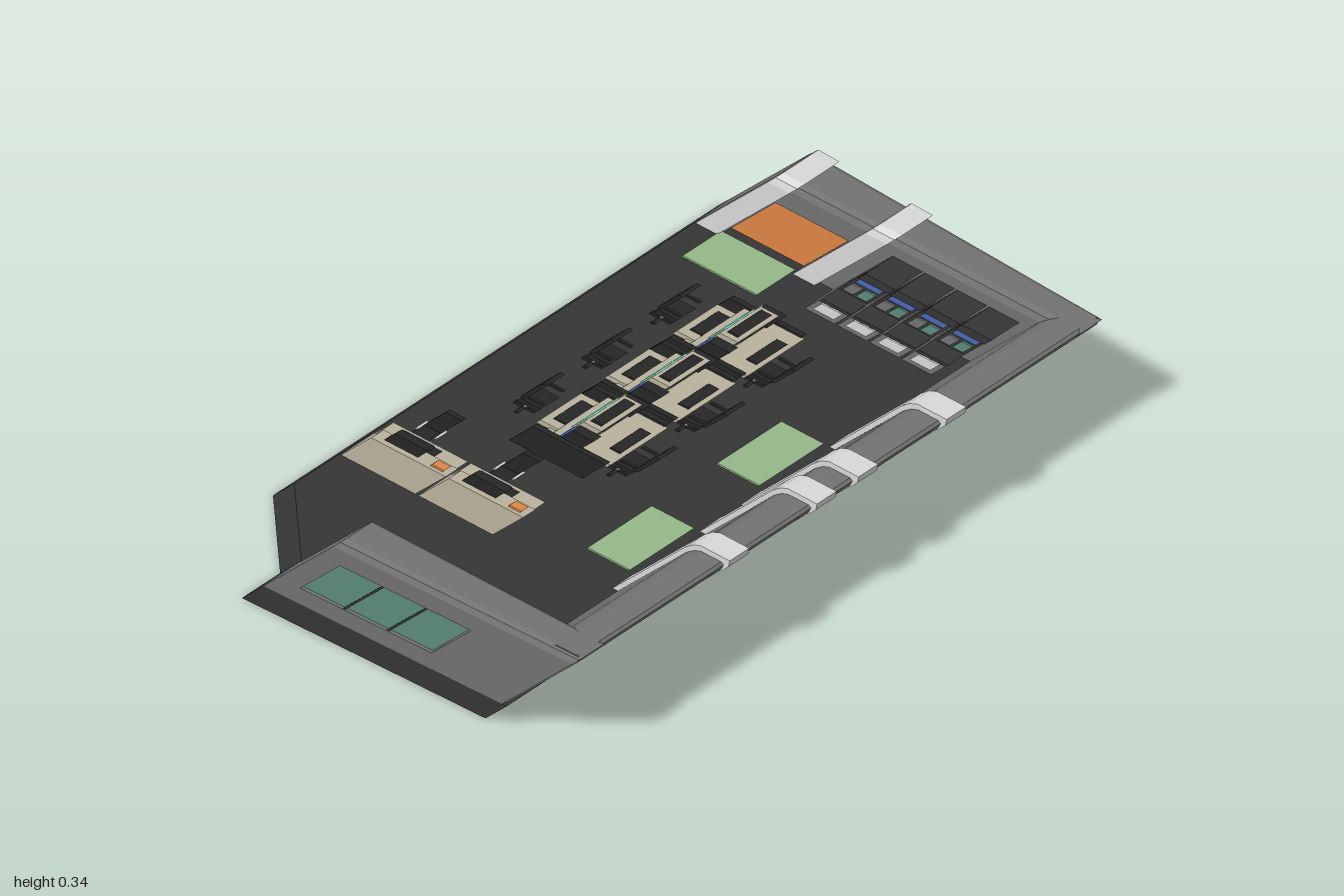
import * as THREE from 'three';

const mat = (name, color, extra = {}) => new THREE.MeshStandardMaterial({ name, color, ...extra });

export function createModel() {
  const M = {
    hull: mat('hullGrey', 0x727272), floor: mat('floorCharcoal', 0x353535),
    rib: mat('ribLightGrey', 0xd8d8d8), door: mat('doorOrange', 0xdd8544),
    pad: mat('matGreen', 0x94b886), glass: mat('windowTeal', 0x5b8b7d),
    desk: mat('deskBeige', 0xb9b19c), black: mat('seatBlack', 0x262626),
    screen: mat('screenAqua', 0x80d8c0), blue: mat('panelBlue', 0x4a68b8),
  };
  const root = new THREE.Group();
  root.name = 'slantedControlRoom';
  let target = root;
  const section = (name, build) => {
    target = new THREE.Group();
    target.name = name;
    root.add(target);
    build();
    target = root;
  };

  // Everything is laid out upright, then slanted: z moves forward with height,
  // and the outer side faces narrow slightly toward the front.
  const add = (name, material, geometry) => {
    const g = geometry.index ? geometry.toNonIndexed() : geometry;
    const p = g.attributes.position;
    for (let i = 0; i < p.count; i++) {
      let x = p.getX(i);
      const y = p.getY(i), z = p.getZ(i);
      if (x > 0.9) x -= 0.045 * (z + 0.67);
      if (x < -0.9) x += 0.03 * (z + 0.44);
      p.setXYZ(i, x, y, z + y);
    }
    g.computeVertexNormals();
    const mesh = new THREE.Mesh(g, material);
    mesh.name = name;
    target.add(mesh);
  };
  const box = (name, material, x0, x1, y0, y1, z0, z1) =>
    add(name, material, new THREE.BoxGeometry(x1 - x0, y1 - y0, z1 - z0)
      .translate((x0 + x1) / 2, (y0 + y1) / 2, (z0 + z1) / 2));
  const cyl = (name, material, r, x, y0, y1, z, n = 10) =>
    add(name, material, new THREE.CylinderGeometry(r, r, y1 - y0, n).translate(x, (y0 + y1) / 2, z));
  const shapeOf = pts => new THREE.Shape(pts.map(p => new THREE.Vector2(...p)));

  // Floor slab with one cut corner
  const plan = [[-1, -0.44], [-0.86, -0.44], [-0.63, -0.67], [1, -0.67], [1, 0.34], [-1, 0.34]];
  add('floorSlab', M.floor, new THREE.ExtrudeGeometry(shapeOf(plan.map(([x, z]) => [x, -z]).reverse()),
    { depth: 0.07, bevelEnabled: false }).rotateX(-Math.PI / 2));

  // Sides: cross-sections are (distance outward from the inner face, height), run a..b along the wall
  const F = { turn: -Math.PI / 2, x: 0, z: 0.22, t: 0.11 };
  const L = { turn: Math.PI, x: -0.865, z: 0, t: 0.135 };
  const R = { turn: 0, x: 0.855, z: 0, t: 0.145 };
  const run = (name, material, side, pts, a, b) =>
    add(name, material, new THREE.ExtrudeGeometry(shapeOf(pts), { depth: b - a, bevelEnabled: false })
      .translate(0, 0, side.turn === 0 ? a : -b).rotateY(side.turn).translate(side.x, 0, side.z));
  const rect = (d0, d1, y0, y1) => [[d0, y0], [d1, y0], [d1, y1], [d0, y1]];
  const wall = (side, a, b, y0 = 0.07) => {
    const t = side.t;
    run('wallSection', M.hull, side, [[0, y0], [t, y0], [t, 0.3], [t - 0.008, 0.316], [t - 0.022, 0.322],
      [0.022, 0.322], [0.008, 0.314], [0, 0.297]], a, b);
  };
  const doorway = (side, a, b) => {
    wall(side, a, b, 0.24);
    run('door', M.door, side, rect(0.025, side.t - 0.002, 0.07, 0.24), a, b);
  };
  const rib = (side, c, low) => {
    const t = side.t;
    run('ribCap', M.rib, side, [[-0.018, 0.07], [0, 0.07], [0, 0.28], [t - 0.01, 0.28], [t + 0.006, 0.295],
      [t + 0.006, 0.318], [t - 0.01, 0.338], [0.004, 0.338], [-0.012, 0.328], [-0.018, 0.308]], c - 0.036, c + 0.036);
    run('ribOuterStrip', M.rib, side, rect(t - 0.01, t + 0.005, low, 0.3), c - 0.021, c + 0.021);
  };

  section('frontWall', () => {
    for (const [a, b] of [[-0.985, -0.355], [-0.115, 0.115], [0.355, 0.985]]) wall(F, a, b);
    doorway(F, -0.355, -0.115);
    doorway(F, 0.115, 0.355);
    for (const c of [-0.4, -0.08, 0.072, 0.395]) rib(F, c, 0.2);
  });
  section('doorSideWall', () => {
    wall(R, -0.67, -0.59);
    doorway(R, -0.59, -0.35);
    wall(R, -0.35, 0.325);
    rib(R, -0.312, 0.07);
    rib(R, -0.632, 0.07);
  });
  section('windowSideWall', () => {
    wall(L, -0.44, -0.37);
    wall(L, -0.37, 0.05, 0.25);
    run('windowSill', M.hull, L, rect(0, L.t, 0.07, 0.12), -0.37, 0.05);
    wall(L, 0.05, 0.325);
    for (let i = 0; i < 3; i++) {
      const a = -0.37 + i * 0.14;
      run('windowPane', M.glass, L, rect(0.015, L.t - 0.01, 0.12, 0.25), a, a + 0.135);
      if (i) run('windowMullion', M.floor, L, rect(0.005, L.t - 0.003, 0.12, 0.25), a - 0.006, a + 0.002);
    }
  });

  // Door mats
  section('doorMats', () => {
    box('mat', M.pad, -0.355, -0.12, 0.069, 0.075, 0.043, 0.183);
    box('mat', M.pad, 0.12, 0.355, 0.069, 0.075, 0.043, 0.183);
    box('mat', M.pad, 0.71, 0.85, 0.069, 0.075, -0.6, -0.355);
  });

  // Equipment cabinets along the door-side wall
  section('equipmentCabinets', () => {
    for (let i = 0; i < 4; i++) {
      const a = -0.23 + i * 0.106, b = a + 0.098;
      box('cabinetBase', M.hull, 0.75, 0.86, 0.07, 0.125, a, b);
      box('cabinetDesk', M.floor, 0.74, 0.86, 0.125, 0.135, a, b);
      box('cabinetBack', M.floor, 0.8, 0.86, 0.135, 0.24, a, b);
      box('cabinetHood', M.floor, 0.755, 0.86, 0.24, 0.265, a, b);
      box('cabinetDrawer', M.rib, 0.746, 0.751, 0.085, 0.115, a + 0.015, b - 0.015);
      box('cabinetScreen', M.blue, 0.795, 0.801, 0.185, 0.23, a + 0.01, b - 0.01);
      box('cabinetGauge', M.hull, 0.795, 0.801, 0.143, 0.175, a + 0.01, a + 0.045);
      box('cabinetGauge', M.glass, 0.795, 0.801, 0.143, 0.175, a + 0.053, b - 0.01);
    }
  });

  // Swivel chair; (dx, dz) points from the seat to its backrest
  const chair = (x, z, dx, dz, s = 1) => {
    const w = 0.032 * s;
    for (const k of [0, 1])
      box('chairFoot', M.black, x - (k ? 0.006 : w), x + (k ? 0.006 : w), 0.07, 0.077,
        z - (k ? w : 0.006), z + (k ? w : 0.006));
    cyl('chairStem', M.rib, 0.007, x, 0.075, 0.11, z, 8);
    box('chairSeat', M.black, x - w, x + w, 0.108, 0.122, z - w, z + w);
    const bx = x + dx * w, bz = z + dz * w, hw = dz ? w : 0.007, hd = dx ? w : 0.007;
    box('chairBack', M.black, bx - hw, bx + hw, 0.128, 0.2, bz - hd, bz + hd);
    for (const k of [-1, 1]) {
      const ax = x + (dz ? k * (w + 0.004) : 0), az = z + (dx ? k * (w + 0.004) : 0);
      const aw = dz ? 0.004 : w * 0.7, ad = dx ? 0.004 : w * 0.7;
      box('chairArm', dx ? M.rib : M.black, ax - aw, ax + aw, 0.14, 0.146, az - ad, az + ad);
    }
  };

  // Three double consoles, crewed from both sides
  const console2 = cx => section('doubleConsole', () => {
    box('pedestal', M.desk, cx - 0.085, cx + 0.085, 0.07, 0.13, -0.365, -0.185);
    box('consoleTop', M.desk, cx - 0.105, cx + 0.105, 0.13, 0.142, -0.345, -0.15);
    box('keyShelf', M.desk, cx - 0.075, cx + 0.075, 0.124, 0.138, -0.405, -0.34);
    box('keyboard', M.black, cx - 0.05, cx + 0.05, 0.138, 0.143, -0.385, -0.345);
    box('frontKeyboard', M.black, cx - 0.055, cx + 0.055, 0.142, 0.147, -0.2, -0.165);
    box('monitorHousing', M.desk, cx - 0.075, cx + 0.075, 0.142, 0.2, -0.325, -0.265);
    box('monitorTop', M.black, cx - 0.06, cx + 0.06, 0.2, 0.206, -0.315, -0.28);
    box('mainScreen', M.screen, cx - 0.055, cx + 0.06, 0.15, 0.196, -0.33, -0.324);
    box('frontScreen', M.black, cx - 0.06, cx + 0.06, 0.148, 0.193, -0.266, -0.26);
    box('frontIndicator', M.pad, cx - 0.06, cx + 0.06, 0.15, 0.162, -0.261, -0.256);
    for (const k of [-1, 1]) {
      const x = cx + k * 0.09;
      box('sideCabinet', M.black, x - 0.015, x + 0.015, 0.142, 0.185, -0.32, -0.25);
      box('sideScreen', k < 0 ? M.blue : M.pad, x - 0.012, x + 0.012, 0.148, 0.18, -0.326, -0.319);
      box('sideLeg', M.black, cx + k * 0.11 - 0.008, cx + k * 0.11 + 0.008, 0.07, 0.148, -0.4, -0.16);
      box('vent', M.black, x - k * 0.035 - 0.02, x - k * 0.035 + 0.02, 0.085, 0.11, -0.37, -0.364);
    }
    chair(cx + 0.01, -0.465, 0, -1, 1.05);
    chair(cx - 0.035, -0.12, 0, 1, 1.05);
  });
  [-0.025, 0.225, 0.475].forEach(console2);

  // Two single desks in a row
  for (const z of [-0.665, -0.41]) section('singleDesk', () => {
    const e = z + 0.245;
    box('deskBody', M.desk, -0.465, -0.385, 0.07, 0.13, z, e);
    box('deskTop', M.desk, -0.465, -0.35, 0.13, 0.14, z, e);
    box('deskRiser', M.desk, -0.465, -0.42, 0.14, 0.17, z, e);
    box('deskEnd', M.desk, -0.465, -0.352, 0.07, 0.14, z, z + 0.015);
    box('deskEnd', M.desk, -0.465, -0.352, 0.07, 0.14, e - 0.015, e);
    box('deskMonitor', M.black, -0.45, -0.425, 0.17, 0.205, z + 0.03, z + 0.14);
    box('deskScreen', M.blue, -0.426, -0.42, 0.173, 0.202, z + 0.035, z + 0.135);
    box('deskPanel', M.blue, -0.421, -0.416, 0.145, 0.166, z + 0.15, z + 0.23);
    box('deskLamp', M.door, -0.455, -0.43, 0.17, 0.176, z + 0.185, z + 0.225);
    box('deskKeyboard', M.black, -0.405, -0.365, 0.14, 0.145, z + 0.05, z + 0.17);
    chair(-0.315, z + 0.09, 1, 0, 0.85);
  });

  return root;
}
